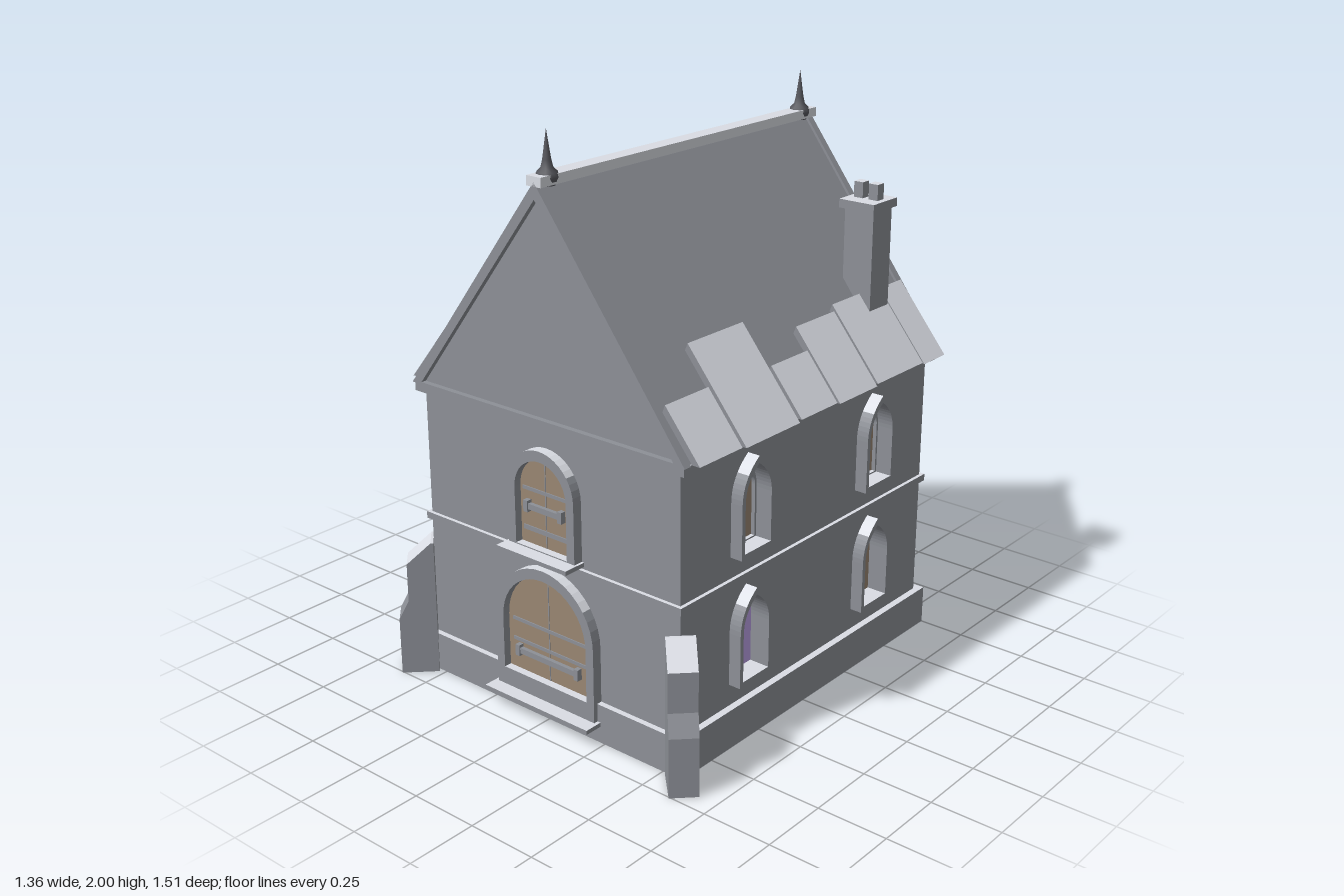
import * as THREE from 'three';

const mat = (name, color) => Object.assign(new THREE.MeshStandardMaterial({ color }), { name });

// Geometry groups by direction: 0 for walls, 1 for faces that look upward
function splitTops(source) {
  const geometry = source.index ? source.toNonIndexed() : source;
  const normal = geometry.getAttribute('normal');
  geometry.clearGroups();
  for (let i = 0; i < normal.count; i += 3) {
    const slot = normal.getY(i) + normal.getY(i + 1) + normal.getY(i + 2) > 1.8 ? 1 : 0;
    const last = geometry.groups[geometry.groups.length - 1];
    if (last && last.materialIndex === slot) last.count += 3;
    else geometry.addGroup(i, 3, slot);
  }
  return geometry;
}

export function createModel() {
  const stone = mat('stone', 0x8d9097);
  const pale = mat('pale stone', 0xdadde4);
  const wood = mat('brown wood', 0x998672);
  const violet = mat('violet glass', 0xc4a8f0);
  const iron = mat('dark iron', 0x55565c);
  const trim = [stone, pale];

  const model = new THREE.Group();
  model.name = 'house';

  const add = (parent, name, geometry, material) => {
    const mesh = new THREE.Mesh(material === trim ? splitTops(geometry) : geometry, material);
    mesh.name = name;
    parent.add(mesh);
    return mesh;
  };
  // Box given by its limits on each axis
  const box = (parent, name, x0, x1, y0, y1, z0, z1, material = trim) => {
    const mesh = add(parent, name, new THREE.BoxGeometry(x1 - x0, y1 - y0, z1 - z0), material);
    mesh.position.set((x0 + x1) / 2, (y0 + y1) / 2, (z0 + z1) / 2);
    return mesh;
  };
  const extrude = (parent, name, shape, z, depth, material = trim) => {
    const geometry = new THREE.ExtrudeGeometry(shape, { depth, bevelEnabled: false, curveSegments: 10 });
    const mesh = add(parent, name, geometry, material);
    mesh.position.z = z;
    return mesh;
  };
  const polygon = (points) => new THREE.Shape(points.map(([x, y]) => new THREE.Vector2(x, y)));

  // Arched outline, round or pointed, centred on x = cx
  const arch = (w, y0, top, pointed = false, cx = 0) => {
    const shape = new THREE.Shape();
    const rise = pointed ? w * 1.75 : w;
    const spring = top - rise;
    shape.moveTo(cx - w, y0);
    shape.lineTo(cx + w, y0);
    shape.lineTo(cx + w, spring);
    if (pointed) {
      shape.quadraticCurveTo(cx + w, spring + rise * 0.6, cx, top);
      shape.quadraticCurveTo(cx - w, spring + rise * 0.6, cx - w, spring);
    } else {
      shape.absarc(cx, spring, w, 0, Math.PI, false);
    }
    shape.lineTo(cx - w, y0);
    return shape;
  };
  const withHoles = (shape, ...holes) => {
    shape.holes.push(...holes);
    return shape;
  };

  // Walls and horizontal mouldings
  box(model, 'plinth', -0.58, 0.58, 0, 0.14, -0.75, 0.65);
  box(model, 'walls', -0.52, 0.52, 0.14, 1.04, -0.72, 0.63, stone);
  box(model, 'stringCourse', -0.568, 0.568, 0.573, 0.598, -0.735, 0.643);
  box(model, 'cornice', -0.585, 0.585, 1.04, 1.07, -0.75, 0.65);

  // Roof and gable rims
  const triangle = (w, y0, top) => polygon([[-w, y0], [w, y0], [0, top]]);
  extrude(model, 'roof', triangle(0.58, 1.07, 1.83), -0.735, 1.37, stone);
  for (const [name, z] of [['frontGableRim', 0.627], ['backGableRim', -0.755]]) {
    const rim = withHoles(triangle(0.592, 1.07, 1.845), triangle(0.548, 1.078, 1.79));
    extrude(model, name, rim, z, 0.028, stone);
  }
  box(model, 'ridge', -0.03, 0.03, 1.83, 1.862, -0.755, 0.655, pale);

  // Loose slabs along the eaves: z start, z end, x of the upper edge
  const slabs = {
    1: [[0.42, 0.625, 0.48], [0.13, 0.405, 0.385], [-0.08, 0.115, 0.49],
      [-0.305, -0.09, 0.435], [-0.59, -0.315, 0.42], [-0.725, -0.595, 0.425]],
    [-1]: [[-0.725, -0.505, 0.405], [-0.5, -0.305, 0.385], [-0.295, -0.16, 0.45],
      [-0.155, 0.055, 0.435], [0.06, 0.315, 0.395], [0.32, 0.48, 0.445], [0.485, 0.62, 0.405]],
  };
  for (const side of [1, -1]) {
    slabs[side].forEach(([z0, z1, x], i) => {
      const low = 0.625 + (i % 2) * 0.004;
      const high = x + 0.01;
      const y = (at) => 1.075 + (0.625 - at) * 1.22;
      const section = polygon([[low, y(low)], [high, y(high)], [x, y(high) - 0.025], [low - 0.03, y(low)]]
        .map(([px, py]) => [side * px, py]));
      extrude(model, 'eaveSlab', section, z0, z1 - z0);
    });
  }

  // Ridge finials
  const finialProfile = [[0.026, 1.825], [0.037, 1.85], [0.034, 1.866], [0.02, 1.88], [0.014, 1.905], [0.008, 1.945], [0, 2]]
    .map(([r, y]) => new THREE.Vector2(r, y));
  const finialGeometry = new THREE.LatheGeometry(finialProfile, 10);
  for (const z of [0.595, -0.695]) add(model, 'finial', finialGeometry, iron).position.z = z;

  // Chimney
  const chimney = new THREE.Group();
  chimney.name = 'chimney';
  model.add(chimney);
  box(chimney, 'shaft', 0.36, 0.475, 1.2, 1.605, -0.585, -0.475);
  box(chimney, 'cap', 0.345, 0.485, 1.605, 1.635, -0.6, -0.46);
  for (const x of [0.385, 0.445]) box(chimney, 'pot', x - 0.018, x + 0.018, 1.635, 1.69, -0.55, -0.514);

  // Diagonal buttresses on the front corners
  const buttress = polygon([[0, 0], [0.13, 0], [0.13, 0.21], [0.095, 0.28],
    [0.095, 0.42], [0.01, 0.497], [0, 0.497]]);
  for (const side of [1, -1]) {
    const group = new THREE.Group();
    group.name = side > 0 ? 'leftButtress' : 'rightButtress';
    group.position.set(side * 0.555, 0, 0.63);
    group.rotation.y = side > 0 ? -Math.PI / 4 : -Math.PI * 0.75;
    extrude(group, 'buttress', buttress, -0.048, 0.096);
    model.add(group);
  }

  // Front doors: round arch, boards, strap hinge and sill
  const door = (name, o) => {
    const group = new THREE.Group();
    group.name = name;
    group.position.z = 0.63;
    model.add(group);
    extrude(group, 'frame', withHoles(arch(o.w + 0.033, o.frame, o.top + 0.037), arch(o.w, o.y0, o.top)), 0, 0.036);
    extrude(group, 'boards', arch(o.w, o.y0, o.top), 0, 0.008, wood);
    box(group, 'sill', -o.sill, o.sill, o.sillY, o.sillY + 0.015, 0, 0.087);
    box(group, 'seam', -0.002, 0.002, o.y0, o.top - 0.005, 0.006, 0.01, stone);
    for (const [y, h] of o.bands) box(group, 'band', -o.w * 0.88, o.w * 0.88, y - h, y + h, 0.006, 0.012, stone);
    box(group, 'bar', -o.bar, o.bar, o.barY - 0.01, o.barY + 0.01, 0.01, 0.024, stone);
    for (const s of [-1, 1]) {
      box(group, 'barEnd', s * o.bar - 0.009, s * o.bar + 0.009, o.barY - 0.02, o.barY + 0.02, 0.006, 0.028, stone);
    }
  };
  door('lowerDoor', { w: 0.187, frame: 0.072, y0: 0.14, top: 0.518, sill: 0.233, sillY: 0.06,
    bands: [[0.325, 0.006], [0.25, 0.006]], bar: 0.133, barY: 0.217 });
  door('upperDoor', { w: 0.113, frame: 0.612, y0: 0.626, top: 0.938, sill: 0.155, sillY: 0.607,
    bands: [[0.82, 0.006], [0.68, 0.008]], bar: 0.075, barY: 0.763 });

  // Side walls pierced by pointed windows, tracery on the upper floor
  const floor = 0.455;
  const opening = (cx = 0, dy = 0) => arch(0.067, 0.235 + dy, 0.525 + dy, true, cx);
  const sideWindow = (wall, cx, upper, glass) => {
    const group = new THREE.Group();
    group.name = upper ? 'upperWindow' : 'lowerWindow';
    group.position.set(cx, upper ? floor : 0, 0);
    wall.add(group);
    extrude(group, 'frame', withHoles(arch(0.083, 0.217, 0.55, true), opening()), 0.035, 0.045);
    extrude(group, 'pane', opening(), 0, 0.006, glass);
    if (!upper) return;
    const eye = new THREE.Path();
    eye.absarc(0, 0.488, 0.019, 0, Math.PI * 2, false);
    const tracery = withHoles(opening(),
      arch(0.026, 0.24, 0.462, true, 0.033), arch(0.026, 0.24, 0.462, true, -0.033), eye);
    extrude(group, 'tracery', tracery, 0.006, 0.014);
  };
  for (const side of [1, -1]) {
    const wall = new THREE.Group();
    wall.name = side > 0 ? 'leftWall' : 'rightWall';
    wall.position.x = side * 0.52;
    wall.rotation.y = side * Math.PI / 2;
    model.add(wall);
    const ends = [side * 0.72, side * -0.63].sort((a, b) => a - b);
    const face = polygon([[ends[0], 0.14], [ends[1], 0.14], [ends[1], 1.04], [ends[0], 1.04]]);
    for (const z of [0.3, -0.39]) {
      const cx = -side * z;
      face.holes.push(opening(cx), opening(cx, floor));
      sideWindow(wall, cx, true, wood);
      sideWindow(wall, cx, false, side * z > 0 ? violet : wood);
    }
    extrude(wall, 'wallFace', face, 0, 0.035);
  }

  return model;
}
